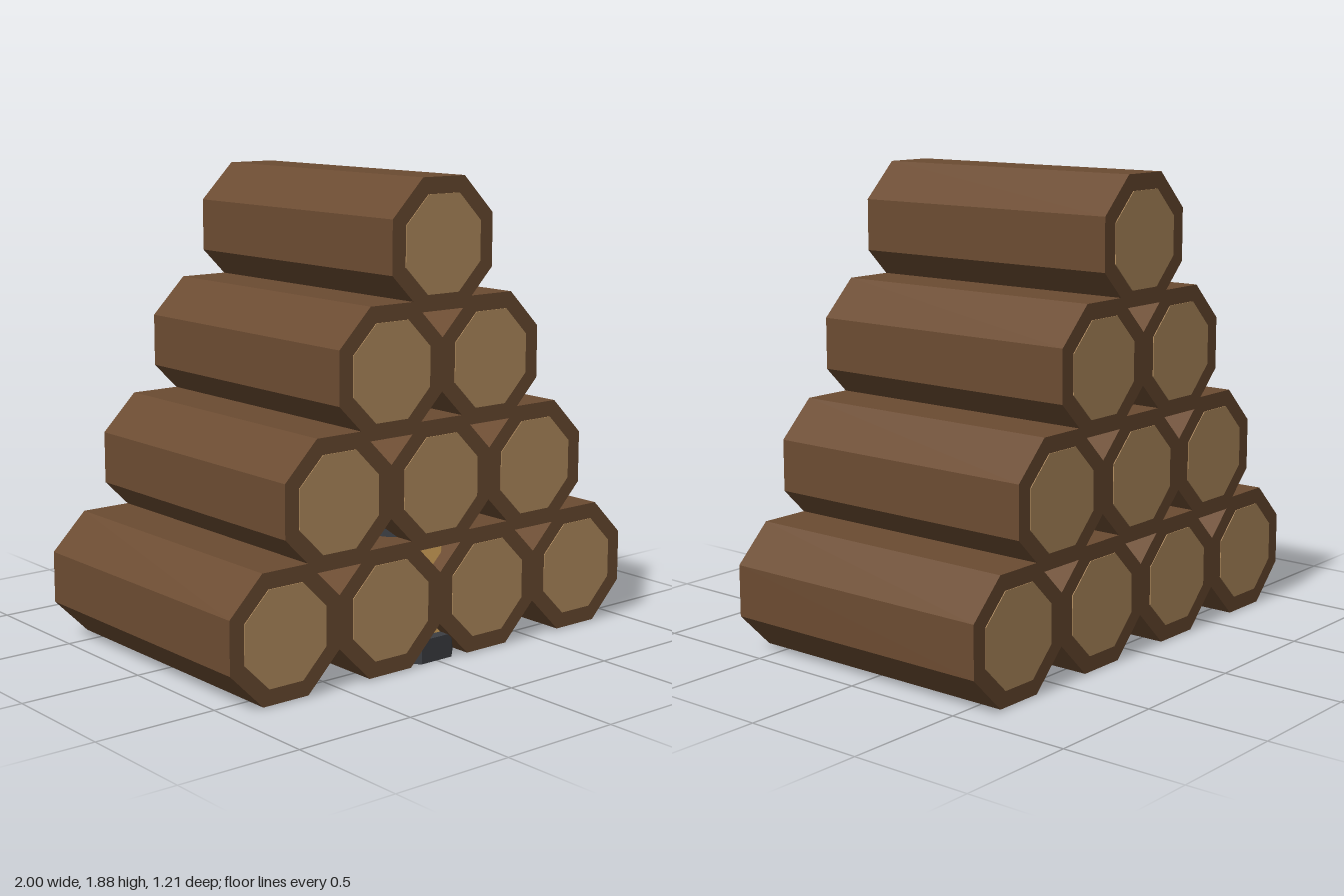
import * as THREE from 'three';

const material = (color) => new THREE.MeshStandardMaterial({ color, flatShading: true });
const APOTHEM = Math.cos(Math.PI / 8);

// Octagonal prism with flat sides facing the axes; sizes are measured across the flats.
function octagon(topHalf, bottomHalf, height) {
  const g = new THREE.CylinderGeometry(topHalf / APOTHEM, bottomHalf / APOTHEM, height, 8);
  return g.rotateY(Math.PI / 8);
}

function addPart(parent, name, geometry, mat, x = 0, y = 0, z = 0) {
  const mesh = new THREE.Mesh(geometry, mat);
  mesh.name = name;
  mesh.position.set(x, y, z);
  parent.add(mesh);
  return mesh;
}

export function createModel() {
  const model = new THREE.Group();
  model.name = 'logPile';
  const bark = material(0x6b4b31);
  const cutWood = material(0xb58f60);
  const darkMetal = material(0x3c3e43);
  const glow = material(0xe3b162);

  // Logs: four rows of 4, 3, 2 and 1, with pale cut faces just proud of both ends
  const logGeometry = octagon(0.25, 0.25, 1.2).rotateX(Math.PI / 2);
  const cutGeometry = octagon(0.1865, 0.1865, 0.02).rotateX(Math.PI / 2);
  for (let row = 0; row < 4; row++) {
    const count = 4 - row;
    for (let i = 0; i < count; i++) {
      const log = new THREE.Group();
      log.name = 'log';
      log.position.set((i - (count - 1) / 2) * 0.5, 0.255 + row * 0.457, 0);
      addPart(log, 'bark', logGeometry, bark);
      for (const side of [-1, 1]) addPart(log, 'cutFace', cutGeometry, cutWood, 0, 0, side * 0.593);
      model.add(log);
    }
  }

  // Lantern tucked between the two middle logs, near the front
  const lantern = new THREE.Group();
  lantern.name = 'lantern';
  lantern.position.z = 0.4;
  addPart(lantern, 'lanternBase', octagon(0.185, 0.185, 0.095), darkMetal, 0, 0.0475);
  addPart(lantern, 'lanternGlass', octagon(0.14, 0.14, 0.41), glow, 0, 0.3);
  addPart(lantern, 'lanternCap', octagon(0.185, 0.185, 0.07), darkMetal, 0, 0.535);
  model.add(lantern);

  return model;
}
